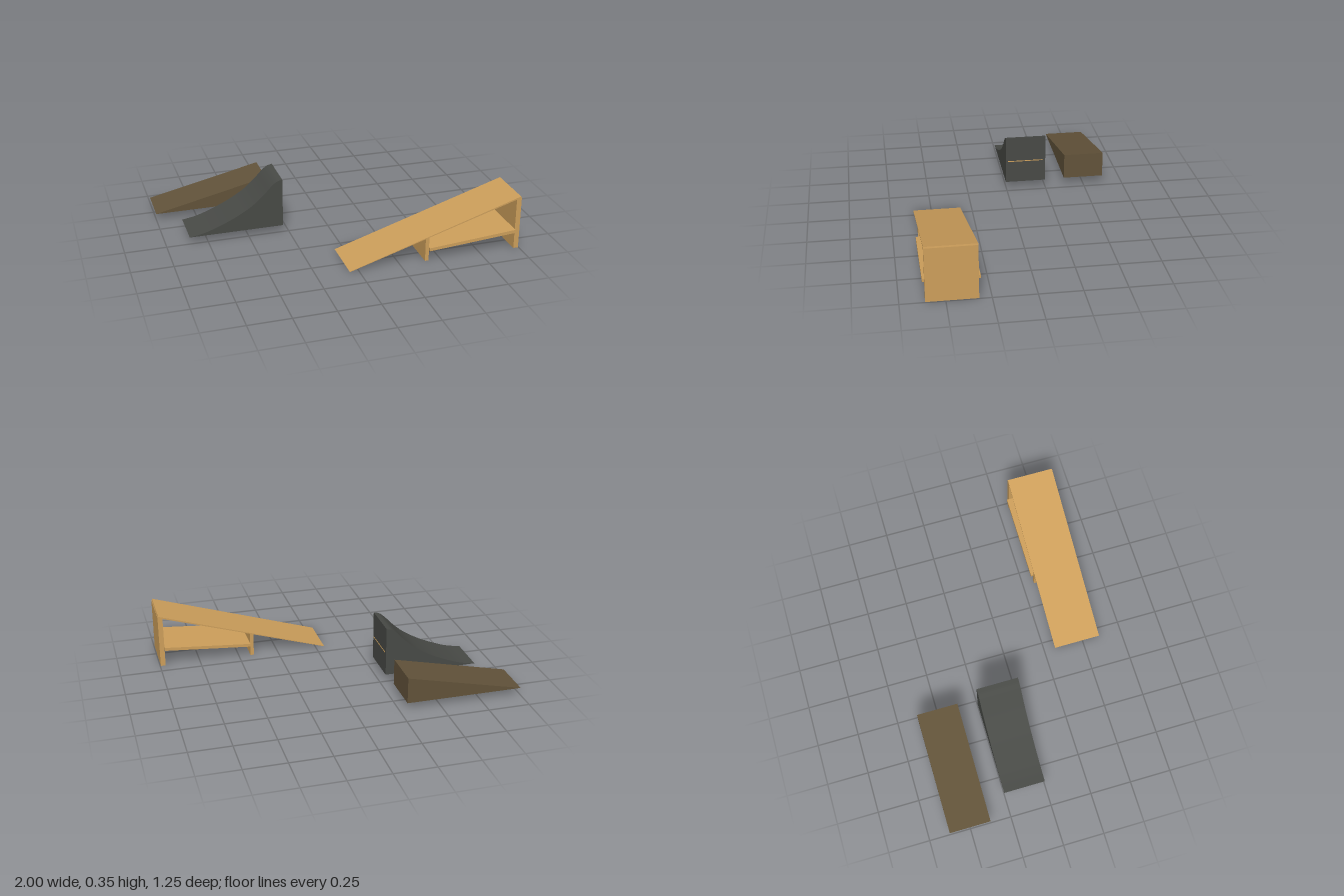
import * as THREE from 'three';
import { toCreasedNormals } from 'three/addons/utils/BufferGeometryUtils.js';

const material = (name, color) => {
  const m = new THREE.MeshStandardMaterial({ color });
  m.name = name;
  return m;
};

export function createModel() {
  const tan = material('tan wood', 0xcd9f5b);
  const brown = material('dark brown', 0x62533a);
  const charcoal = material('charcoal', 0x484a46);
  const model = new THREE.Group();
  model.name = 'rampSet';

  // Side outline in x and y, extruded from z0 to z1
  const slab = (parent, name, shape, z0, z1, mat) => {
    let geo = new THREE.ExtrudeGeometry(shape, { depth: z1 - z0, bevelEnabled: false, curveSegments: 16 });
    geo = toCreasedNormals(geo.translate(0, 0, z0), 0.4);
    const mesh = new THREE.Mesh(geo, mat);
    mesh.name = name;
    parent.add(mesh);
  };
  const outline = (...pts) => new THREE.Shape(pts.map(([x, y]) => new THREE.Vector2(x, y)));
  const group = (name) => {
    const g = new THREE.Group();
    g.name = name;
    model.add(g);
    return g;
  };

  // Solid wedge
  slab(group('wedgeRamp'), 'wedge', outline([-1, 0.045], [-0.295, 0.045], [-0.295, 0.205]), -0.625, -0.375, brown);

  // Curved kicker with a rounded crest
  const kicker = group('curvedRamp');
  const curve = new THREE.Shape();
  curve.moveTo(-0.285, 0.045);
  curve.lineTo(-0.285, 0.348);
  curve.splineThru([
    [-0.32, 0.338], [-0.355, 0.31], [-0.4, 0.263], [-0.46, 0.21], [-0.52, 0.17],
    [-0.59, 0.132], [-0.68, 0.093], [-0.77, 0.062], [-0.86, 0.045],
  ].map(([x, y]) => new THREE.Vector2(x, y)));
  curve.closePath();
  slab(kicker, 'curvedBody', curve, -0.25, 0.003, charcoal);

  // Thin wooden edge showing on the kicker's tall end
  const strip = new THREE.Mesh(new THREE.BoxGeometry(0.003, 0.005, 0.222), tan);
  strip.name = 'woodenEdge';
  strip.position.set(-0.2845, 0.188, -0.122);
  kicker.add(strip);

  // Plank ramp on two board legs with a sloping shelf
  const plank = group('plankRamp');
  slab(plank, 'deck', outline([-0.055, 0.003], [-0.048, 0.002], [0.993, 0.325], [0.991, 0.334]), 0.32, 0.61, tan);
  slab(plank, 'shortLeg', outline([0.405, 0], [0.427, 0], [0.427, 0.15], [0.405, 0.143]), 0.322, 0.608, tan);
  slab(plank, 'tallLeg', outline([0.966, 0], [0.996, 0], [0.996, 0.326], [0.966, 0.318]), 0.32, 0.61, tan);
  slab(plank, 'shelf', outline([0.428, 0.066], [0.965, 0.106], [0.965, 0.126], [0.428, 0.085]), 0.307, 0.622, tan);

  return model;
}
